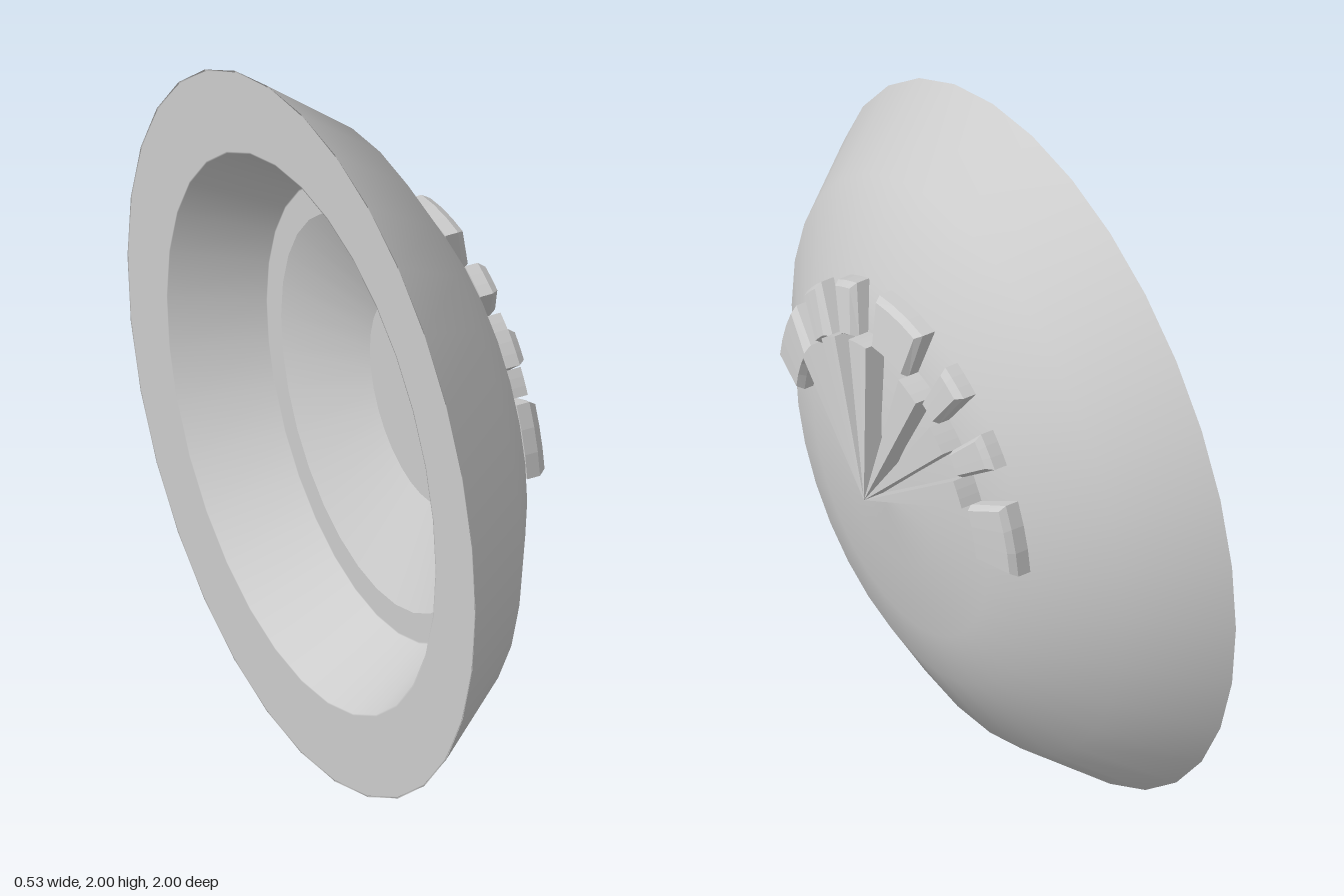
import * as THREE from 'three';

const SIDES = 32;
const BACK = -0.265; // plane of the back rim
const smooth = new THREE.MeshStandardMaterial({ color: 0xcccccc });
const faceted = new THREE.MeshStandardMaterial({ color: 0xcccccc, flatShading: true });
const mix = THREE.MathUtils.lerp;

// Surface turned round the x axis; profile points are [x, radius].
function turned(name, profile) {
  const points = profile.map(([x, r]) => new THREE.Vector2(r, x));
  const mesh = new THREE.Mesh(new THREE.LatheGeometry(points, SIDES), smooth);
  mesh.rotation.z = -Math.PI / 2;
  mesh.position.y = 1;
  mesh.name = name;
  return mesh;
}

// Ring sector standing on the dome: angles in degrees from +z towards +y,
// with a sloping top from xIn to xOut and an optional bevelled top edge.
function sector(name, { a0, a1, rIn, rOut, base, xIn, xOut, bevel = 0 }) {
  const g = new THREE.BoxGeometry(1, 1, 1, 3, 2, 1);
  const p = g.attributes.position;
  for (let i = 0; i < p.count; i++) {
    const u = p.getX(i) + 0.5, v = p.getY(i) + 0.5, w = p.getZ(i) + 0.5;
    const inset = v > 0.9 ? bevel : 0;
    const r = mix(rIn + inset, rOut - inset, w);
    const turn = THREE.MathUtils.radToDeg(inset / r);
    const a = THREE.MathUtils.degToRad(mix(a1 - turn, a0 + turn, u));
    const top = mix(xIn, xOut, w);
    const x = v < 0.1 ? base : v < 0.9 ? top - 0.02 : top;
    p.setXYZ(i, x, 1 + r * Math.sin(a), r * Math.cos(a));
  }
  g.computeVertexNormals();
  const mesh = new THREE.Mesh(g, faceted);
  mesh.name = name;
  return mesh;
}

export function createModel() {
  const model = new THREE.Group();
  model.name = 'domedDisc';

  // Outer dome facing +x; a narrow lip rolls its shading over the rim
  model.add(turned('dome', [
    [BACK, 0.995], [BACK, 1], [-0.03, 0.815], [0.11, 0.575], [0.15, 0.425], [0.185, 0.215], [0.205, 0],
  ]));

  // Flat rim and stepped hollow at the back; the outer slope blends softly at both ends
  model.add(turned('backRim', [[BACK, 0.775], [BACK, 0.995]]));
  model.add(turned('outerSlope', [[-0.04, 0.63], [-0.04, 0.635], [BACK, 0.77], [BACK, 0.775]]));
  model.add(turned('step', [[-0.04, 0.55], [-0.04, 0.63]]));
  model.add(turned('innerSlope', [[0.09, 0.29], [-0.04, 0.55]]));
  model.add(turned('hollowFloor', [[0.09, 0], [0.09, 0.29]]));

  // Arc of seven bevelled blocks
  const blocks = [[7, 27.5], [37.5, 47.5], [58, 68], [79.5, 100.5], [112, 122], [132.5, 142.5], [152.5, 173]];
  for (const [a0, a1] of blocks) {
    model.add(sector('arcBlock', {
      a0, a1, rIn: 0.435, rOut: 0.58, base: 0.11, xIn: 0.195, xOut: 0.168, bevel: 0.011,
    }));
  }

  // Raised fan wedges in the gaps between the blocks, meeting at the centre
  for (let i = 0; i < blocks.length - 1; i++) {
    model.add(sector('fanWedge', {
      a0: blocks[i][1], a1: blocks[i + 1][0], rIn: 0.001, rOut: 0.44, base: 0.12, xIn: 0.265, xOut: 0.208,
    }));
  }
  return model;
}
